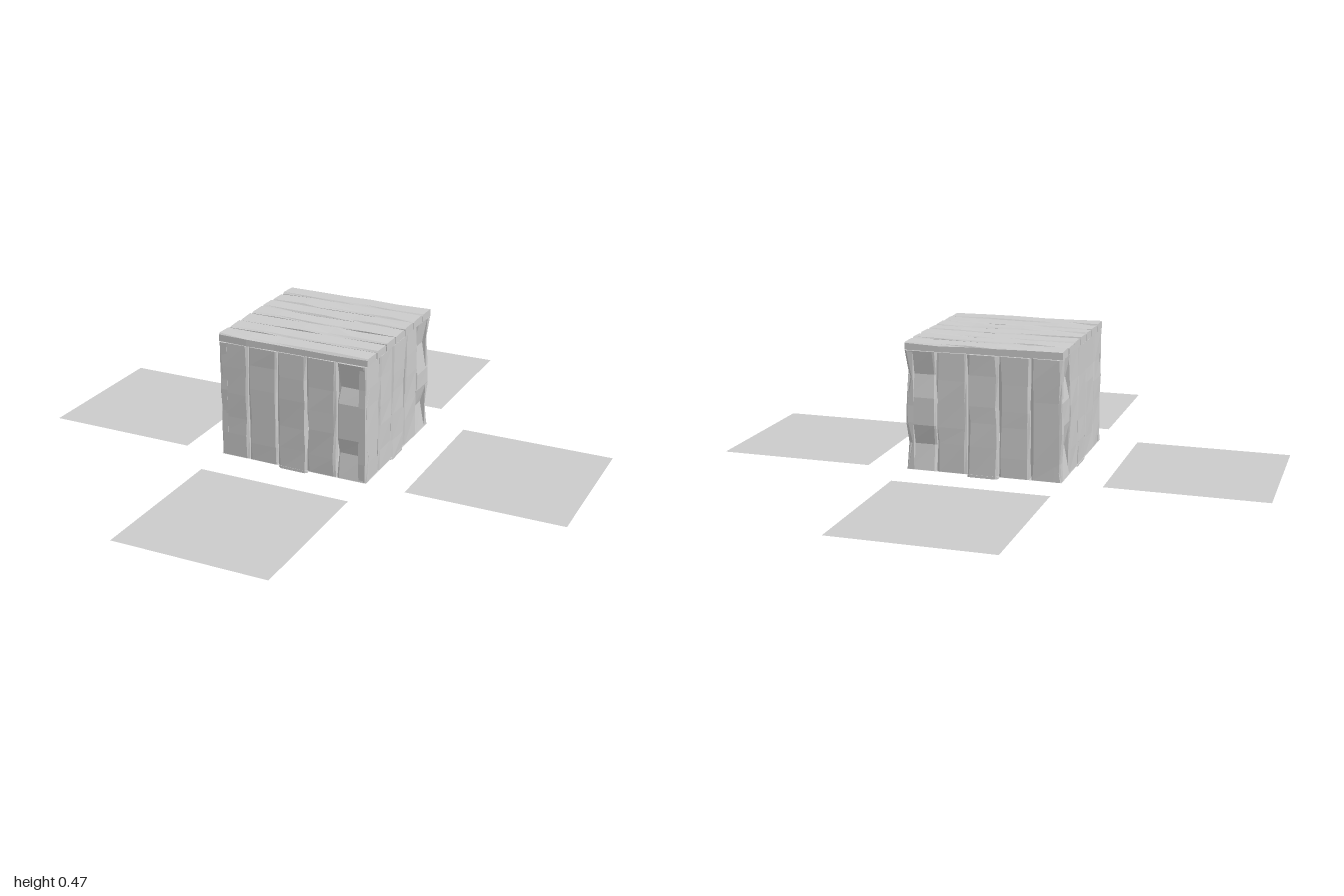
import * as THREE from 'three';

const HALF = 0.285, THICK = 0.03, FLOOR = 0.01, WALL_TOP = 0.44;

// Repeatable noise from 0 to 1, keyed by position so box seams stay closed
function noise(a, b, c) {
  const s = Math.sin(a * 127.1 + b * 311.7 + c * 74.7) * 43758.5453;
  return s - Math.floor(s);
}

// Rough-hewn plank: a segmented box with ragged sides and bevelled outer edges
function makePlank(width, length, seed, wavy, drop) {
  const cols = 3, rows = 5;
  const geo = new THREE.BoxGeometry(width, length, THICK, cols, rows, 1);
  const pos = geo.attributes.position;
  for (let i = 0; i < pos.count; i++) {
    const x = pos.getX(i), y = pos.getY(i), z = pos.getZ(i);
    const col = Math.round((x / width + 0.5) * cols);
    const row = Math.round((y / length + 0.5) * rows);
    const outerCol = col === 0 || col === cols;
    const endRow = row === 0 || row === rows;
    let nx = x, ny = y, nz = z;
    if (outerCol) nx -= Math.sign(x) * 0.006 * noise(col + 1, row, seed);
    else nx = Math.sign(x) * (width / 2 - 0.006 - 0.008 * noise(col, row + 9, seed));
    if (!endRow) ny += (noise(row, 3, seed) - 0.5) * 0.05;
    if (z > 0) {
      if (outerCol) nz -= 0.004 + 0.006 * noise(col, row, seed + 5);
      else nz -= 0.004 * noise(col, row, seed + 8);
      if (wavy && (row === 1 || row === 4)) nz -= 0.018;
    }
    if (row === 0) ny -= drop;
    pos.setXYZ(i, nx, ny, nz);
  }
  geo.computeVertexNormals();
  return geo;
}

// Row of planks side by side, facing local +z
function makePanel(name, count, length, seed, wavyIndex, drop, material) {
  const panel = new THREE.Group();
  panel.name = name;
  const width = (2 * HALF) / count;
  for (let i = 0; i < count; i++) {
    const d = i === Math.floor(count / 2) ? drop : 0;
    const plank = new THREE.Mesh(makePlank(width, length, seed + i * 1.37, i === wavyIndex, d), material);
    plank.name = name + 'Plank';
    plank.position.x = -HALF + (i + 0.5) * width;
    panel.add(plank);
  }
  return panel;
}

export function createModel() {
  const model = new THREE.Group();
  const wood = new THREE.MeshStandardMaterial({ color: 0xcccccc, flatShading: true });
  const sheet = new THREE.MeshStandardMaterial({ color: 0xcccccc, side: THREE.DoubleSide });

  // Four walls of upright planks
  const wallHeight = WALL_TOP - FLOOR;
  const offset = HALF - THICK / 2;
  [
    ['frontWall', 0, 4], ['rightWall', Math.PI / 2, 4],
    ['backWall', Math.PI, 0], ['leftWall', -Math.PI / 2, 0],
  ].forEach(([name, angle, wavy], i) => {
    const wall = makePanel(name, 5, wallHeight, 2 + i * 11, wavy, FLOOR, wood);
    wall.rotation.y = angle;
    wall.position.set(Math.sin(angle) * offset, (FLOOR + WALL_TOP) / 2, Math.cos(angle) * offset);
    model.add(wall);
  });

  // Lid of planks running from side to side
  const lid = makePanel('lid', 7, 2 * HALF, 60, -1, 0, wood);
  lid.rotation.set(-Math.PI / 2, 0, Math.PI / 2);
  lid.position.y = WALL_TOP + THICK / 2 + 0.002;
  model.add(lid);

  // Crate floor and four loose flat sheets around it
  const d = 1 - HALF;
  [
    ['floor', 0, 0], ['frontSheet', 0, d], ['backSheet', 0, -d],
    ['leftSheet', d, 0], ['rightSheet', -d, 0],
  ].forEach(([name, x, z]) => {
    const plate = new THREE.Mesh(new THREE.PlaneGeometry(2 * HALF, 2 * HALF), sheet);
    plate.name = name;
    plate.rotation.x = -Math.PI / 2;
    plate.position.set(x, FLOOR, z);
    model.add(plate);
  });

  return model;
}
